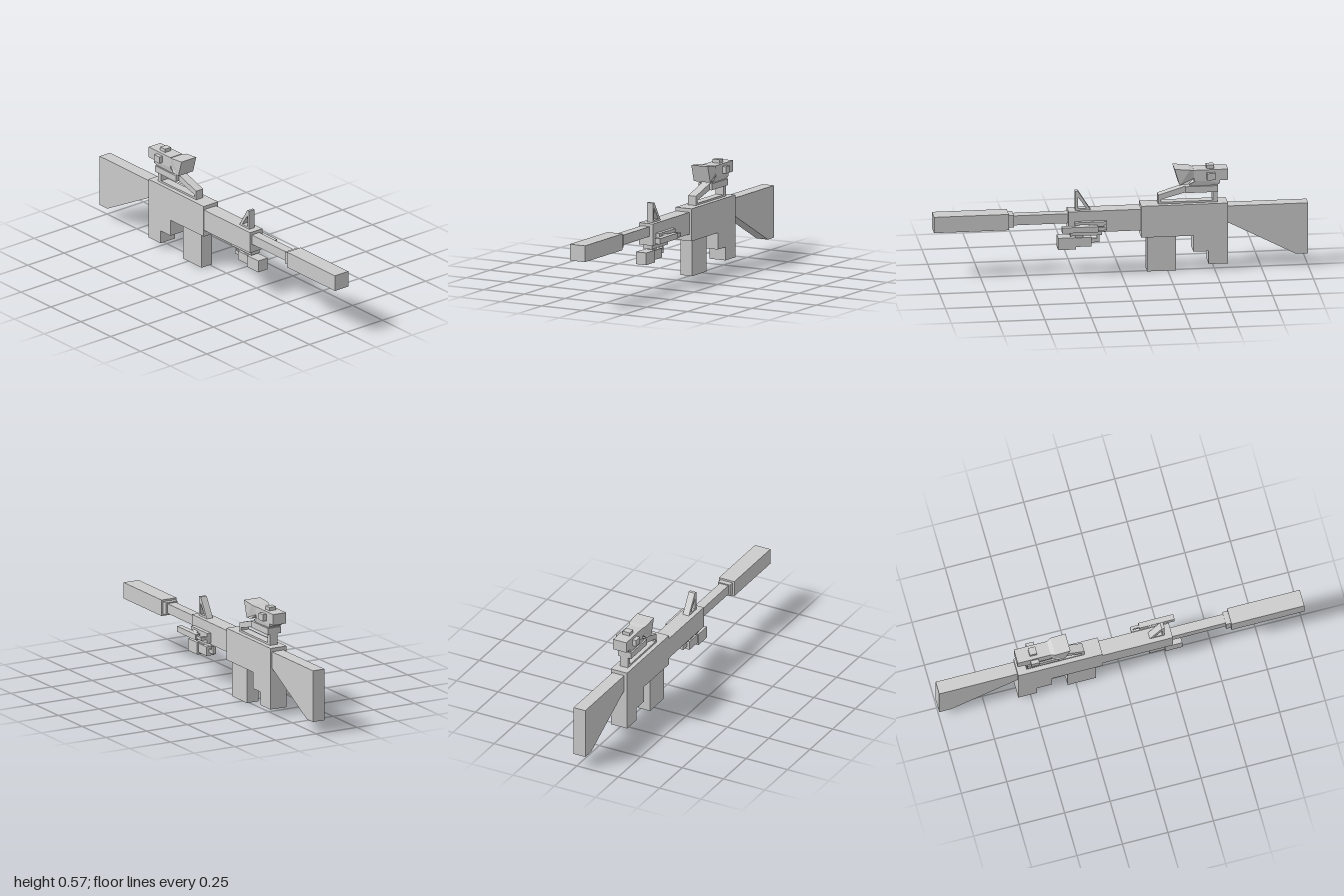
import * as THREE from 'three';

export function createModel() {
  const model = new THREE.Group();
  const material = new THREE.MeshStandardMaterial({ color: 0xcccccc, flatShading: true });

  const add = (name, geometry) => {
    const mesh = new THREE.Mesh(geometry, material);
    mesh.name = name;
    model.add(mesh);
    return mesh;
  };

  // Box given by its limits on each axis.
  const box = (name, [x0, x1], [y0, y1], [z0, z1]) =>
    add(name, new THREE.BoxGeometry(x1 - x0, y1 - y0, z1 - z0)
      .translate((x0 + x1) / 2, (y0 + y1) / 2, (z0 + z1) / 2));

  // Side profile of [z, y] points extruded across x, with optional holes.
  const toPoints = (list) => list.map(([z, y]) => new THREE.Vector2(z, y));
  const profile = (name, [x0, x1], outline, holes = []) => {
    const shape = new THREE.Shape(toPoints(outline));
    holes.forEach((h) => shape.holes.push(new THREE.Path(toPoints(h))));
    const geometry = new THREE.ExtrudeGeometry(shape, { depth: x1 - x0, bevelEnabled: false });
    return add(name, geometry.rotateY(-Math.PI / 2).translate(x1, 0, 0));
  };

  // Squeeze the vertices chosen by a test toward a centre line in x.
  const squeeze = (mesh, test, centre, factor) => {
    const p = mesh.geometry.attributes.position;
    for (let i = 0; i < p.count; i++) {
      if (test(p.getY(i), p.getZ(i))) p.setX(i, centre + (p.getX(i) - centre) * factor);
    }
    mesh.geometry.computeVertexNormals();
  };

  // Barrel line
  box('muzzleSleeve', [-0.077, 0.016], [0.262, 0.35], [0.6, 1]);
  box('muzzleCollar', [-0.067, 0.006], [0.272, 0.34], [0.572, 0.6]);
  box('barrel', [-0.056, -0.004], [0.281, 0.334], [0.28, 0.575]);
  box('handguard', [-0.068, 0.017], [0.232, 0.35], [-0.11, 0.28]);

  // Receiver with the stepped grip
  profile('receiver', [-0.069, 0.03], [
    [-0.107, 0.37], [-0.57, 0.37], [-0.57, 0.033], [-0.467, 0.033],
    [-0.467, 0.105], [-0.385, 0.105], [-0.385, 0.195], [-0.107, 0.195],
  ]);
  box('magazine', [-0.057, 0.014], [0, 0.2], [-0.295, -0.14]);
  profile('stock', [-0.051, 0.02], [
    [-0.565, 0.35], [-1, 0.35], [-1, 0.068], [-0.935, 0.068], [-0.565, 0.262],
  ]);

  // Front sight
  profile('frontSight', [-0.043, -0.006], [
    [0.242, 0.35], [0.242, 0.455], [0.226, 0.455], [0.16, 0.35],
  ], [[[0.228, 0.36], [0.228, 0.425], [0.184, 0.36]]]);

  // Carry rail that holds the scope
  profile('carryRail', [-0.045, 0.003], [
    [-0.2, 0.37], [-0.2, 0.42], [-0.345, 0.465], [-0.518, 0.465], [-0.518, 0.37],
  ], [[
    [-0.215, 0.38], [-0.215, 0.395], [-0.345, 0.43], [-0.492, 0.43], [-0.492, 0.38],
  ]]);
  box('railTop', [-0.065, 0.016], [0.43, 0.465], [-0.518, -0.345]);

  // Scope
  const mount = profile('scopeMount', [-0.063, 0.013], [
    [-0.37, 0.463], [-0.365, 0.478], [-0.41, 0.5], [-0.53, 0.5], [-0.53, 0.478], [-0.51, 0.463],
  ]);
  squeeze(mount, (y) => y < 0.47, -0.025, 0.8);
  const bell = profile('scopeBell', [-0.075, 0.026], [
    [-0.285, 0.568], [-0.312, 0.477], [-0.358, 0.482], [-0.39, 0.51], [-0.39, 0.553], [-0.368, 0.56],
  ]);
  squeeze(bell, (y, z) => z < -0.38, -0.025, 0.78);
  box('scopeBody', [-0.065, 0.015], [0.495, 0.555], [-0.572, -0.39]);
  box('topTurret', [-0.045, -0.004], [0.55, 0.574], [-0.5, -0.46]);
  box('rightTurret', [-0.086, -0.06], [0.503, 0.54], [-0.502, -0.458]);
  box('leftTurret', [0.01, 0.037], [0.503, 0.54], [-0.502, -0.458]);

  // Light under the handguard
  box('lowerMount', [-0.051, 0.004], [0.21, 0.234], [0.1, 0.27]);
  box('lowerConnector', [-0.04, -0.008], [0.195, 0.212], [0.2, 0.24]);
  box('lowerLightHead', [-0.057, 0.007], [0.136, 0.202], [0.24, 0.335]);
  box('lowerLightBody', [-0.05, 0], [0.148, 0.198], [0.155, 0.245]);
  profile('lowerBracket', [-0.035, -0.015], [
    [0.16, 0.185], [0.126, 0.185], [0.126, 0.215], [0.112, 0.215], [0.112, 0.165], [0.16, 0.165],
  ]);

  // Light on the left side
  box('sideMount', [0.015, 0.04], [0.24, 0.296], [0.08, 0.25]);
  const neck = box('sideNeck', [0.038, 0.056], [0.25, 0.286], [0.175, 0.225]);
  const np = neck.geometry.attributes.position;
  for (let i = 0; i < np.count; i++) {
    if (np.getX(i) > 0.05) np.setY(i, 0.268 + (np.getY(i) - 0.268) * 0.6);
  }
  neck.geometry.computeVertexNormals();
  box('sideLight', [0.053, 0.083], [0.253, 0.284], [0.13, 0.322]);
  box('sideBracketArm', [0.036, 0.073], [0.26, 0.277], [0.082, 0.095]);
  box('sideBracketStem', [0.06, 0.075], [0.26, 0.277], [0.082, 0.135]);

  return model;
}
